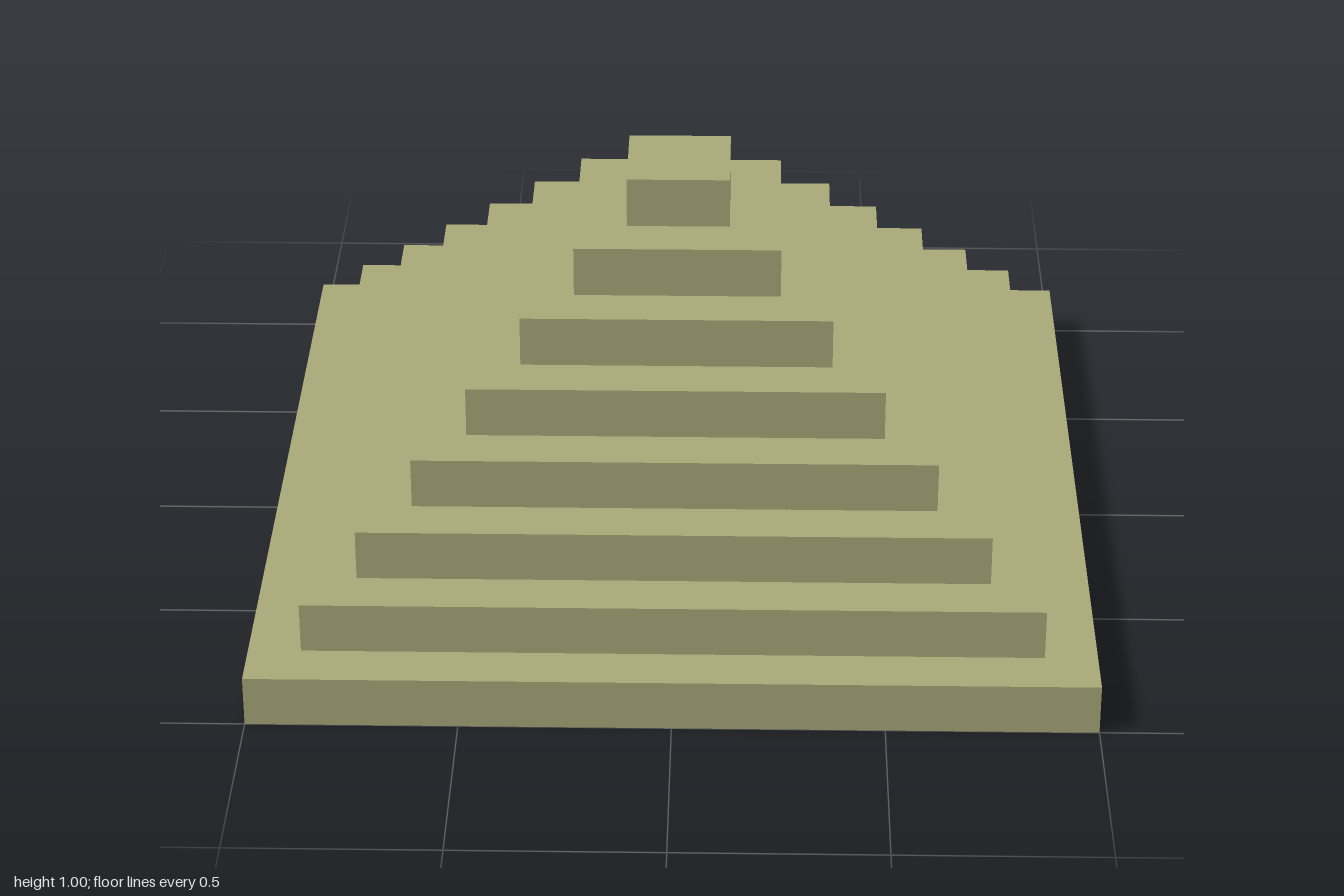
import * as THREE from 'three';

const TIERS = 8;
const STEP = 1 / TIERS; // height of a tier, and its inset on each side

export function createModel() {
  const model = new THREE.Group();
  model.name = 'steppedPyramid';
  const stone = new THREE.MeshStandardMaterial({ color: 0xaaaa7a });

  // Square slabs, each one step smaller than the one beneath
  for (let i = 0; i < TIERS; i++) {
    const width = 2 * (1 - i * STEP);
    const tier = new THREE.Mesh(new THREE.BoxGeometry(width, STEP, width), stone);
    tier.name = `tier${i + 1}`;
    tier.position.y = (i + 0.5) * STEP;
    model.add(tier);
  }
  return model;
}
